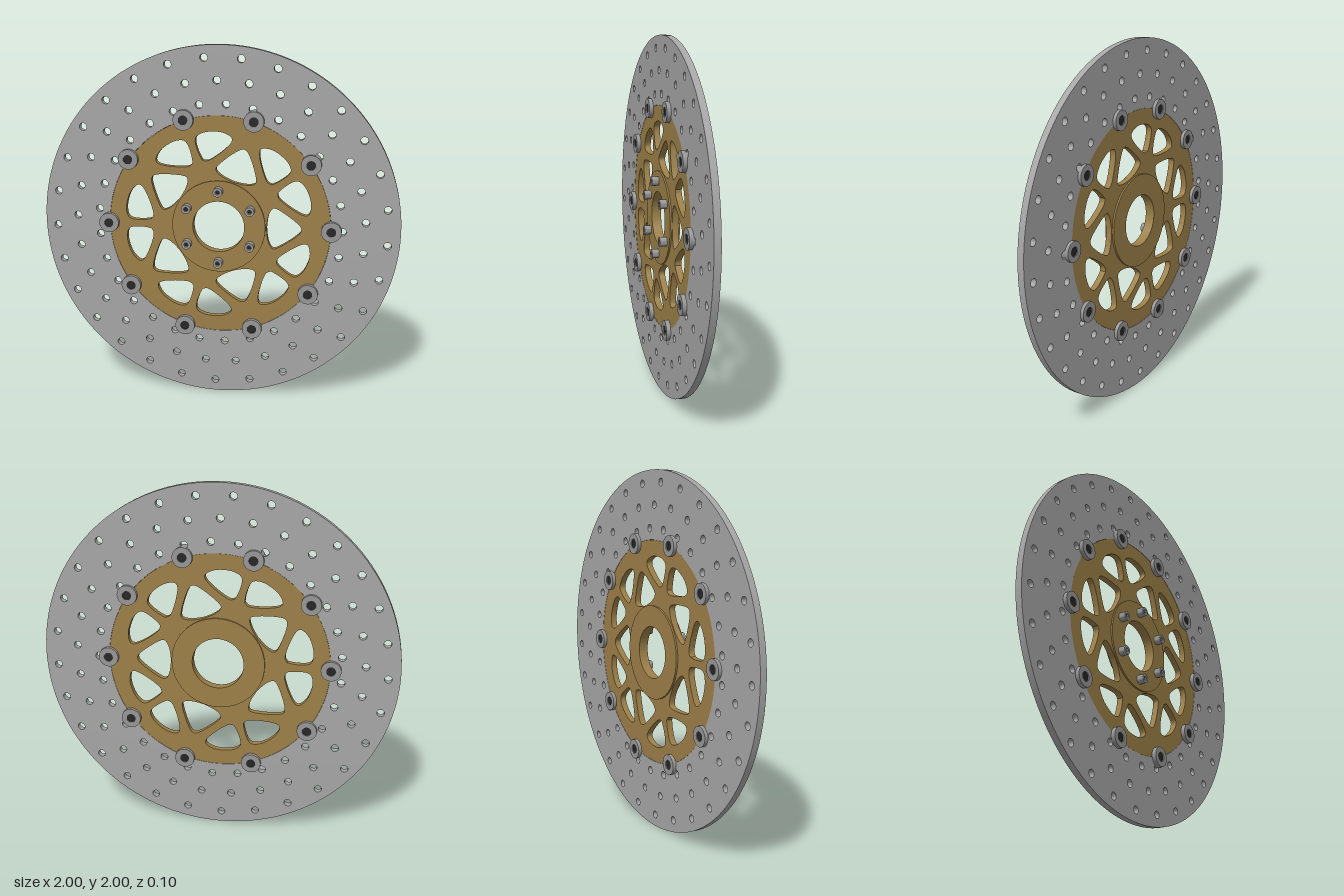
import * as THREE from 'three';
import { toCreasedNormals } from 'three/addons/utils/BufferGeometryUtils.js';

const TAU = Math.PI * 2;
const material = (name, color) => {
  const m = new THREE.MeshStandardMaterial({ color });
  m.name = name;
  return m;
};

// Circle as a list of points
const circle = (r, n, cx = 0, cy = 0, turn = 0) =>
  Array.from({ length: n }, (_, i) => {
    const a = turn + (i / n) * TAU;
    return new THREE.Vector2(cx + r * Math.cos(a), cy + r * Math.sin(a));
  });

// Smooth closed outline through a few points, turned by an angle
const smoothOutline = (points, angle, mirror = 1) =>
  new THREE.SplineCurve([...points, points[0]].map(([u, v]) =>
    new THREE.Vector2(u, v * mirror).rotateAround(new THREE.Vector2(), angle))).getPoints(36).slice(0, -1);

// Plate between two z levels, with holes and smooth curved walls
function plate(outline, holes, z0, z1) {
  const shape = new THREE.Shape(outline);
  shape.holes = holes.map((h) => new THREE.Path(h));
  const g = new THREE.ExtrudeGeometry(shape, { depth: z1 - z0, bevelEnabled: false });
  g.translate(0, 0, z0);
  return toCreasedNormals(g, 0.7);
}

export function createModel() {
  const steel = material('brushed steel', 0xa6a6a6);
  const fastener = material('fastener grey', 0x979797);
  const gold = material('gold anodised', 0x9c7f48);
  const dark = material('dark socket', 0x262626);

  const model = new THREE.Group();
  model.name = 'brakeDisc';
  const wheel = new THREE.Group();
  wheel.name = 'discAssembly';
  wheel.position.y = 1;
  model.add(wheel);
  const add = (name, geometry, mat, parent = wheel) => {
    const mesh = new THREE.Mesh(geometry, mat);
    mesh.name = name;
    parent.add(mesh);
    return mesh;
  };

  // Friction ring: three staggered rows of drilled holes
  const drilled = [circle(0.623, 120)];
  [[0.934, 95], [0.812, 90.8], [0.686, 86.7]].forEach(([r, start]) => {
    for (let i = 0; i < 29; i++) {
      const a = THREE.MathUtils.degToRad(start) + (i / 29) * TAU;
      drilled.push(circle(0.021, 16, r * Math.cos(a), r * Math.sin(a)));
    }
  });
  add('frictionRing', plate(circle(1, 160), drilled, -0.033, 0.004), steel);

  // Carrier: five spokes, each flanked by mirrored windows, with a window between spokes
  const sideWindow = [[0.385, 0.028], [0.372, 0.06], [0.395, 0.14], [0.43, 0.21], [0.462, 0.22],
    [0.503, 0.175], [0.526, 0.10], [0.52, 0.043], [0.49, 0.023], [0.43, 0.021]];
  const middleWindow = [[0.268, 0], [0.276, 0.065], [0.298, 0.112], [0.335, 0.108], [0.425, 0.047],
    [0.462, 0], [0.425, -0.047], [0.335, -0.108], [0.298, -0.112], [0.276, -0.065]];
  const windows = [circle(0.145, 64)];
  for (let i = 0; i < 5; i++) {
    const a = (i / 5) * TAU;
    windows.push(smoothOutline(middleWindow, a));
    for (const side of [1, -1]) windows.push(smoothOutline(sideWindow, a + TAU / 10, side));
  }
  add('carrier', plate(circle(0.622, 120), windows, -0.032, 0.003), gold);

  // Raised hub flange on both faces
  add('hubFlange', plate(circle(0.262, 80), [circle(0.145, 64)], -0.042, 0.012), gold);

  // Floating buttons joining the ring and the carrier
  const buttonGeometry = plate(circle(0.056, 32), [circle(0.026, 20)], -0.052, 0.027);
  const coreGeometry = new THREE.CylinderGeometry(0.0262, 0.0262, 0.069, 20).rotateX(Math.PI / 2);
  for (let i = 0; i < 10; i++) {
    const a = (i / 10) * TAU;
    const button = new THREE.Group();
    button.name = 'floatingButton';
    button.position.set(0.626 * Math.cos(a), 0.626 * Math.sin(a), 0);
    wheel.add(button);
    add('buttonSleeve', buttonGeometry, fastener, button);
    add('buttonCore', coreGeometry, dark, button).position.z = -0.0125;
  }

  // Hub bolts with hexagonal sockets
  const headGeometry = plate(circle(0.026, 24), [circle(0.013, 6)], 0.01, 0.052);
  const socketGeometry = new THREE.CircleGeometry(0.0135, 6);
  for (let i = 0; i < 6; i++) {
    const a = TAU / 4 + (i / 6) * TAU;
    const bolt = new THREE.Group();
    bolt.name = 'hubBolt';
    bolt.position.set(0.205 * Math.cos(a), 0.205 * Math.sin(a), 0);
    wheel.add(bolt);
    add('boltHead', headGeometry, fastener, bolt);
    add('boltSocket', socketGeometry, dark, bolt).position.z = 0.035;
  }
  return model;
}
